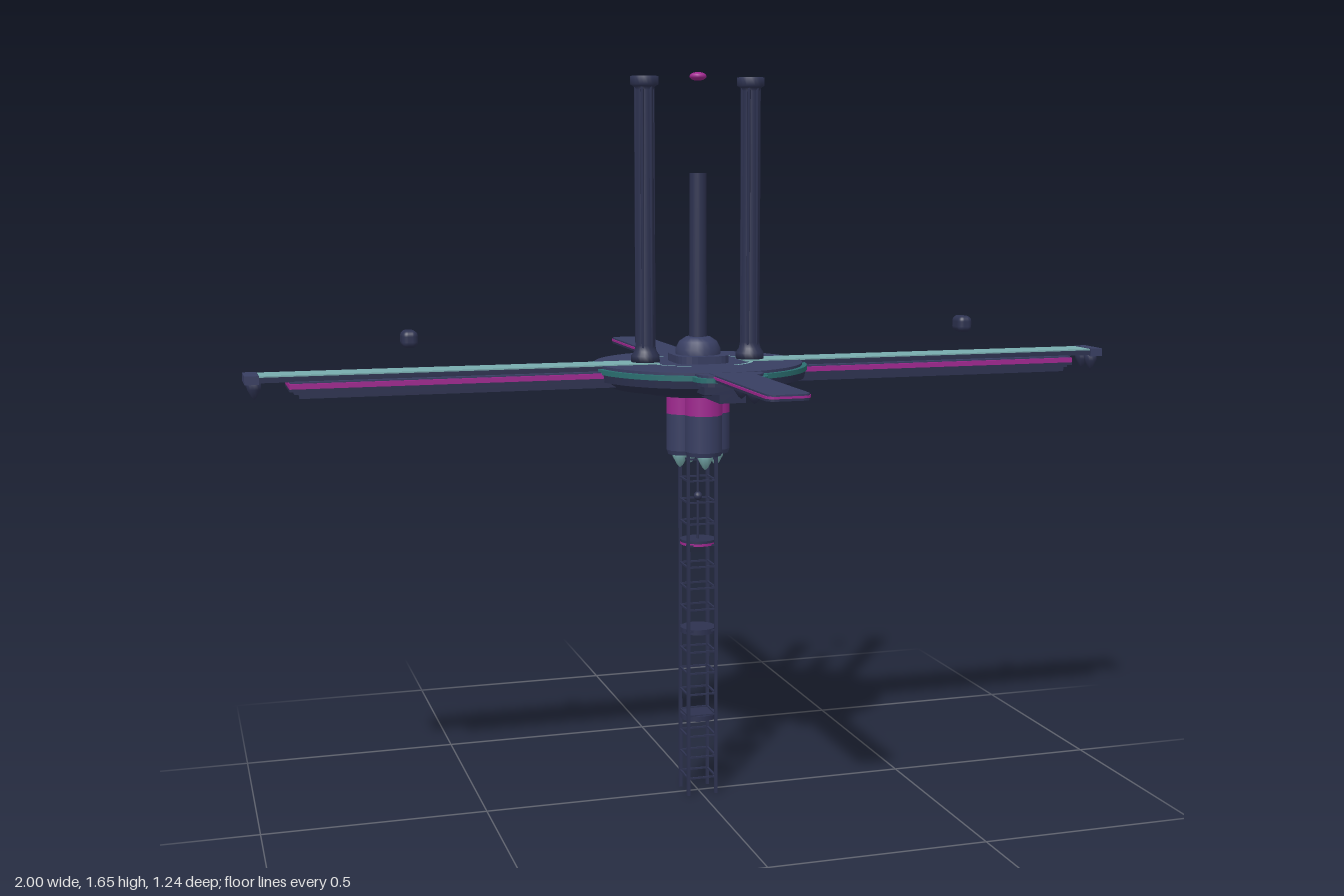
import * as THREE from 'three';
import { RoundedBoxGeometry } from 'three/addons/geometries/RoundedBoxGeometry.js';

const material = (name, color, side = THREE.FrontSide) => {
  const m = new THREE.MeshStandardMaterial({ color, side });
  m.name = name;
  return m;
};

export function createModel() {
  const model = new THREE.Group();
  model.name = 'orbitalStation';
  const navy = material('navy', 0x383e62);
  const dark = material('darkNavy', 0x2d3250, THREE.DoubleSide);
  const teal = material('paleTeal', 0x78acae);
  const deepTeal = material('deepTeal', 0x2a6e70);
  const magenta = material('magenta', 0xa02890);

  const add = (name, geometry, mat, x = 0, y = 0, z = 0) => {
    const mesh = new THREE.Mesh(geometry, mat);
    mesh.name = name;
    mesh.position.set(x, y, z);
    model.add(mesh);
    return mesh;
  };
  // Box and upright cylinder placed by their lower and upper heights
  const box = (name, mat, w, y0, y1, d, x = 0, z = 0) =>
    add(name, new THREE.BoxGeometry(w, y1 - y0, d), mat, x, (y0 + y1) / 2, z);
  const drum = (name, mat, rBottom, rTop, y0, y1, x = 0, z = 0, sides = 32) =>
    add(name, new THREE.CylinderGeometry(rTop, rBottom, y1 - y0, sides), mat, x, (y0 + y1) / 2, z);
  const lathe = (name, mat, profile, x, z, sides = 20) =>
    add(name, new THREE.LatheGeometry(profile.map(p => new THREE.Vector2(...p)), sides), mat, x, 0, z);
  // Horizontal plate with rounded corners
  const plate = (name, mat, w, d, r, y0, y1) => {
    const s = new THREE.Shape(), a = w / 2, b = d / 2;
    s.moveTo(-a + r, -b);
    s.lineTo(a - r, -b).quadraticCurveTo(a, -b, a, -b + r);
    s.lineTo(a, b - r).quadraticCurveTo(a, b, a - r, b);
    s.lineTo(-a + r, b).quadraticCurveTo(-a, b, -a, b - r);
    s.lineTo(-a, -b + r).quadraticCurveTo(-a, -b, -a + r, -b);
    const g = new THREE.ExtrudeGeometry(s, { depth: y1 - y0, bevelEnabled: false, curveSegments: 5 });
    add(name, g.rotateX(-Math.PI / 2), mat, 0, y0, 0);
  };
  // Pointed pod hanging below a surface
  const pod = (x, z, mat, yTop, h, r) => lathe('hangingPod', mat,
    [[0, yTop - h], [r * 0.4, yTop - h * 0.85], [r, yTop - h * 0.4], [r, yTop], [0, yTop]], x, z, 10);

  // Lattice mast
  const half = 0.033;
  for (const x of [-half, half]) for (const z of [-half, half])
    box('mastLeg', dark, 0.007, 0, 0.82, 0.007, x, z);
  for (let i = 0; i < 16; i++) {
    const y = 0.04 + i * 0.05;
    for (const s of [-half, half]) {
      box('mastRung', dark, half * 2, y - 0.002, y + 0.002, 0.004, 0, s);
      box('mastRung', dark, 0.004, y - 0.002, y + 0.002, half * 2, s, 0);
    }
  }
  for (const y of [0.183, 0.388]) drum('mastCollar', dark, 0.041, 0.041, y - 0.006, y + 0.006);
  drum('mastCollarLight', magenta, 0.041, 0.041, 0.589, 0.595);
  drum('mastCollarTop', dark, 0.041, 0.041, 0.595, 0.601);
  drum('mastCore', dark, 0.003, 0.003, 0.6, 0.82, 0, 0, 8);
  add('mastBeacon', new THREE.SphereGeometry(0.01, 12, 8), dark, 0, 0.7, 0);

  // Clustered engine hub
  for (const [x, z, r] of [[0, 0.043, 0.043], [0, -0.043, 0.043], [0.034, 0, 0.04], [-0.034, 0, 0.04]]) {
    drum('hubLobe', navy, r * 0.92, r, 0.8, 0.81, x, z, 12);
    drum('hubLobe', navy, r, r, 0.81, 0.893, x, z, 12);
    drum('hubBand', magenta, r, r, 0.893, 0.937, x, z, 12);
    pod(x * 1.25, z * 1.3, teal, 0.81, 0.042, 0.017);
  }
  drum('hubNeck', dark, 0.062, 0.075, 0.935, 0.965, 0, 0, 12);

  // Central deck: stepped underside, coloured rim and top
  drum('deckLowerStep', dark, 0.12, 0.14, 0.94, 0.96);
  drum('deckMiddleStep', dark, 0.2, 0.235, 0.955, 0.978, 0, 0, 48);
  drum('deckUnderside', dark, 0.24, 0.243, 0.975, 0.992, 0, 0, 48);
  drum('deckRim', deepTeal, 0.246, 0.246, 0.992, 1.003, 0, 0, 48);
  drum('deckTop', navy, 0.235, 0.235, 1.002, 1.009, 0, 0, 48);
  plate('sideBayUnderside', dark, 0.156, 0.556, 0.05, 0.983, 0.992);
  plate('sideBayRim', deepTeal, 0.166, 0.566, 0.05, 0.992, 1.002);
  plate('sideBayTop', navy, 0.148, 0.548, 0.045, 1.002, 1.0075);
  for (const s of [-1, 1]) {
    box('sideBayBase', dark, 0.13, 0.965, 0.987, 0.1, 0, s * 0.21);
    box('deckRib', dark, 0.06, 0.945, 0.98, 0.13, 0, s * 0.19);
  }
  // Light strips on the deck
  for (let i = 0; i < 4; i++) {
    const g = new THREE.RingGeometry(0.118, 0.126, 12, 1, i * Math.PI / 2 + 0.42, 0.73);
    add('deckLight', g.rotateX(-Math.PI / 2), teal, 0, 1.0105, 0);
  }

  // Short arms along z
  plate('shortArmBase', dark, 0.094, 1.236, 0.022, 0.995, 1.0);
  plate('shortArmTrim', magenta, 0.096, 1.238, 0.022, 1.0, 1.005);
  plate('shortArmTop', navy, 0.09, 1.24, 0.022, 1.005, 1.0085);
  for (const s of [-1, 1]) for (const z of [0.315, 0.4])
    pod(0, s * z, dark, 0.998, 0.036, 0.018);

  // Long arms along x
  for (const s of [-1, 1]) {
    const span = (name, mat, x0, x1, y0, y1, d, z = 0) =>
      box(name, mat, x1 - x0, y0, y1, d, s * (x0 + x1) / 2, z);
    span('longArmKeel', dark, 0.08, 0.885, 0.96, 0.974, 0.055);
    span('longArmBody', dark, 0.08, 0.9, 0.972, 0.981, 0.11);
    span('longArmFlange', dark, 0.2, 0.91, 0.978, 0.984, 0.122);
    span('longArmTrim', magenta, 0.2, 0.91, 0.984, 0.995, 0.122);
    span('longArmShoulder', navy, 0.2, 0.908, 0.995, 0.998, 0.108);
    span('longArmSpar', dark, 0.1, 0.995, 0.997, 1.0085, 0.078);
    span('longArmTop', teal, 0.1, 0.975, 1.0085, 1.0115, 0.076);
    span('longArmTip', navy, 0.97, 1.0, 0.994, 1.0125, 0.082);
    for (const z of [-0.022, 0.022]) pod(s * 0.98, z, dark, 0.998, 0.038, 0.015);
    for (const z of [-0.05, 0.05])
      span('longArmEdgeRib', dark, 0.18, 0.89, 0.963, 0.98, 0.012, z);

    // Floating drone above the arm
    add('drone', new RoundedBoxGeometry(0.035, 0.038, 0.05, 4, 0.013), dark, s * 0.65, 1.078, 0);

    // Hollow tower with flared base and cap
    lathe('tower', dark, [
      [0.017, 1.012], [0.032, 1.012], [0.032, 1.026], [0.025, 1.036], [0.022, 1.05],
      [0.019, 1.61], [0.024, 1.618], [0.031, 1.622], [0.031, 1.64], [0.017, 1.64], [0.017, 1.012],
    ], s * 0.123, 0);
    for (let i = 0; i < 6; i++) {
      const a = i * Math.PI / 3;
      drum('towerRib', dark, 0.004, 0.004, 1.03, 1.62,
        s * 0.123 + 0.0195 * Math.cos(a), 0.0195 * Math.sin(a), 6);
    }
  }

  // Central dome, mast stub and floating beacon
  plate('domeBase', navy, 0.12, 0.135, 0.04, 1.006, 1.026);
  lathe('dome', navy, [[0.05, 1.02], [0.051, 1.038], [0.043, 1.055], [0.028, 1.065], [0, 1.068]], 0, 0);
  drum('centralPole', dark, 0.02, 0.019, 1.06, 1.43, 0, 0, 20);
  const beacon = add('floatingBeacon', new THREE.SphereGeometry(0.019, 16, 10), magenta, 0, 1.641, 0);
  beacon.scale.y = 0.5;
  return model;
}
